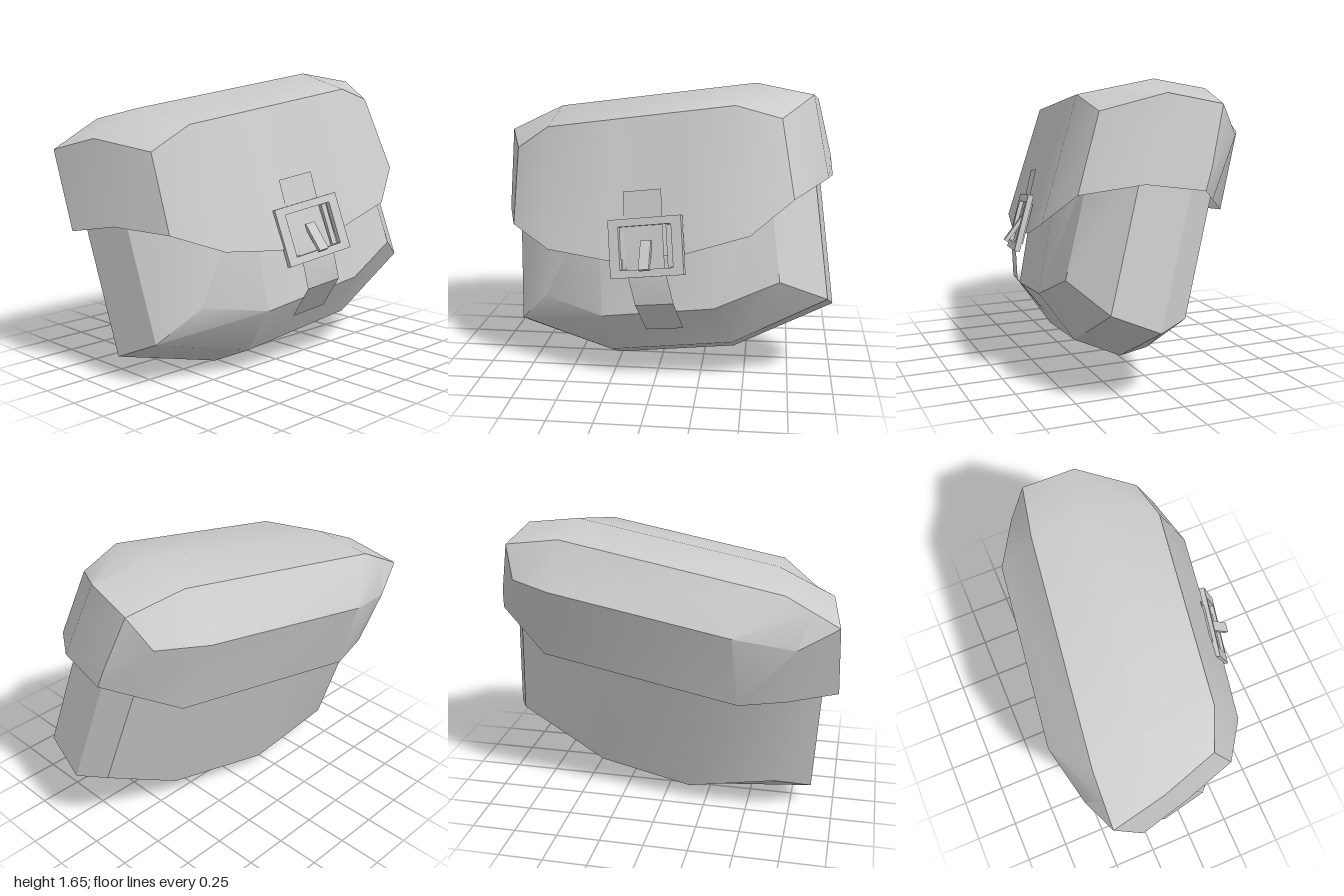
import * as THREE from 'three';
import { toCreasedNormals } from 'three/addons/utils/BufferGeometryUtils.js';

const material = new THREE.MeshStandardMaterial({ color: 0xcccccc, side: THREE.DoubleSide });
const v = (x, y, z) => new THREE.Vector3(x, y, z);
const mix = (a, b, t) => a.clone().lerp(b, t);

// Collect quads and triangles into one creased mesh
function skin(name, quads, crease) {
  const pos = [];
  for (const q of quads) {
    for (let i = 2; i < q.length; i++) {
      const corners = [q[0], q[i - 1], q[i]];
      if (new Set(corners).size < 3) continue;
      for (const p of corners) pos.push(p.x, p.y, p.z);
    }
  }
  const geo = new THREE.BufferGeometry();
  geo.setAttribute('position', new THREE.Float32BufferAttribute(pos, 3));
  const mesh = new THREE.Mesh(toCreasedNormals(geo, crease), material);
  mesh.name = name;
  return mesh;
}

// Quads between two closed rings, lower one first
const band = (low, high) => low.map((p, i) => {
  const j = (i + 1) % low.length;
  return [p, low[j], high[j], high[i]];
});

// Quads between two open rows, right one first
const strip = (a, b) => a.slice(1).map((p, i) => [a[i], p, b[i + 1], b[i]]);

// Pouch body: bottom keel, chamfered front and leaning walls
function makeBody() {
  const frontLow = [v(0.157, 0.256, 0.828), v(0.29, 0.13, 0.27), v(0.39, 0.243, -0.436), v(0.39, 0.518, -0.956)];
  const keel = [v(-0.118, 0.138, 0.87), v(0.02, 0.005, 0.27), v(0.12, 0.117, -0.436), v(0.135, 0.41, -1)];
  const back = [v(-0.25, 0.216, 0.667), v(-0.2, 0.1, 0.155), v(-0.05, 0.14, -0.42), v(-0.04, 0.445, -0.915)];
  const frontHigh = [v(0.32, 0.453, 0.645), v(0.476, 0.4, 0.29), v(0.56, 0.497, -0.34), v(0.53, 0.65, -0.69)];
  const [h0, h1, h2, h3] = frontHigh;

  // Walls lean back and reach up inside the lid
  const ring = [frontLow[0], ...frontHigh, frontLow[3], keel[3], ...back.slice().reverse(), keel[0]];
  const top = ring.map((p) => {
    const rise = 1.13 - 0.13 * p.z - p.y;
    const lean = p === h1 || p === h2 ? -0.2 : -0.29;
    return v(p.x + lean * rise, p.y + rise, p.z + (p.z < -0.6 ? 0.13 : 0.06) * rise);
  });
  return skin('pouchBody', [
    ...band(ring, top),
    top,
    ...strip(back, keel),
    ...strip(keel, frontLow),
    [frontLow[0], frontLow[1], h1, h0],
    [frontLow[1], frontLow[2], h2, h1],
    [frontLow[2], frontLow[3], h3, h2],
  ], 0.52);
}

// Lid: domed top grid and side skirt with a long front flap, open below
function makeLid() {
  const front = [v(0.14, 1.285, 0.825), v(0.22, 1.42, 0.63), v(0.367, 1.575, -0.43), v(0.34, 1.505, -0.68)];
  const ridge = [v(-0.197, 1.34, 0.94), v(-0.2, 1.487, 0.635), v(-0.03, 1.655, -0.53), v(0.045, 1.6, -0.856)];
  const rear = [v(-0.5, 1.263, 0.99), v(-0.49, 1.417, 0.7), v(-0.32, 1.6, -0.56), v(-0.25, 1.54, -0.893)];
  const backCorner = v(-0.11, 1.116, -0.985);
  const backEdge = v(-0.38, 0.95, -0.65);

  const top = [
    front[0], front[1], mix(front[1], front[2], 0.36), mix(front[1], front[2], 0.74), front[2], front[3],
    ridge[3], rear[3], rear[3], rear[2], rear[1], mix(rear[1], rear[0], 0.5), rear[0], ridge[0],
  ];
  const low = [
    v(0.284, 0.865, 0.83), v(0.45, 0.77, 0.595), v(0.524, 0.738, 0.25), v(0.565, 0.8, -0.18),
    v(0.6, 0.92, -0.527), v(0.485, 1.095, -0.755), v(0.2, 1.16, -0.945), backCorner,
    mix(backCorner, backEdge, 0.45), backEdge, v(-0.53, 0.8, 0.477), v(-0.476, 0.82, 0.73),
    v(-0.33, 0.83, 1), v(-0.044, 0.882, 0.935),
  ];
  const middle = top.map((p, i) => mix(low[i], p, 0.5));
  // The back swells outward
  middle[7].set(-0.15, 1.23, -0.97);
  middle[8].set(-0.365, 1.37, -0.82);
  middle[9].set(-0.515, 1.36, -0.57);
  middle[10].set(-0.65, 1.22, 0.45);
  middle[11].set(-0.576, 1.154, 0.78);

  return skin('lid', [
    ...band(low, middle),
    ...band(middle, top),
    ...strip(front, ridge),
    ...strip(ridge, rear),
  ], 0.6);
}

// Strap: flat ribbon following the flap and bending under the body
function makeStrap() {
  const half = v(0.02, 0.016, -0.107);
  const path = [
    v(0.45, 1.12, 0.065), v(0.505, 0.92, 0.05), v(0.575, 0.72, 0.03),
    v(0.59, 0.66, 0.015), v(0.595, 0.52, -0.02), v(0.45, 0.33, -0.06),
  ];
  const left = path.map((p) => p.clone().sub(half));
  const right = path.map((p) => p.clone().add(half));
  return skin('strap', strip(left, right), 0.4);
}

function box(name, size, position, tilt = 0) {
  const mesh = new THREE.Mesh(new THREE.BoxGeometry(...size), material);
  mesh.name = name;
  mesh.position.set(...position);
  mesh.rotation.x = tilt;
  return mesh;
}

// Buckle: rectangular frame, side bars and a prong
function makeBuckle() {
  const rect = (path, w, h) => {
    path.moveTo(-w, -h);
    path.lineTo(w, -h);
    path.lineTo(w, h);
    path.lineTo(-w, h);
    path.closePath();
    return path;
  };
  const outline = rect(new THREE.Shape(), 0.21, 0.16);
  outline.holes.push(rect(new THREE.Path(), 0.152, 0.118));
  const geo = new THREE.ExtrudeGeometry(outline, { depth: 0.03, bevelEnabled: false });
  geo.translate(0, 0, -0.015);
  const frame = new THREE.Mesh(geo, material);
  frame.name = 'buckleFrame';

  const group = new THREE.Group();
  group.name = 'buckle';
  group.add(frame);
  for (const side of [-1, 1]) group.add(box('buckleSideBar', [0.03, 0.23, 0.02], [side * 0.13, 0, -0.02]));
  group.add(box('buckleProng', [0.06, 0.17, 0.022], [0, -0.045, 0.022], -0.38));

  // Lies against the sloping flap
  const across = v(0.08, 0.065, -0.42).normalize();
  const out = across.clone().cross(v(-0.1, 0.31, 0.04)).normalize();
  const up = out.clone().cross(across);
  group.quaternion.setFromRotationMatrix(new THREE.Matrix4().makeBasis(across, up, out));
  group.position.set(0.547, 0.828, 0.03);
  return group;
}

export function createModel() {
  const model = new THREE.Group();
  model.name = 'beltPouch';
  model.add(makeBody(), makeLid(), makeStrap(), makeBuckle());
  return model;
}
